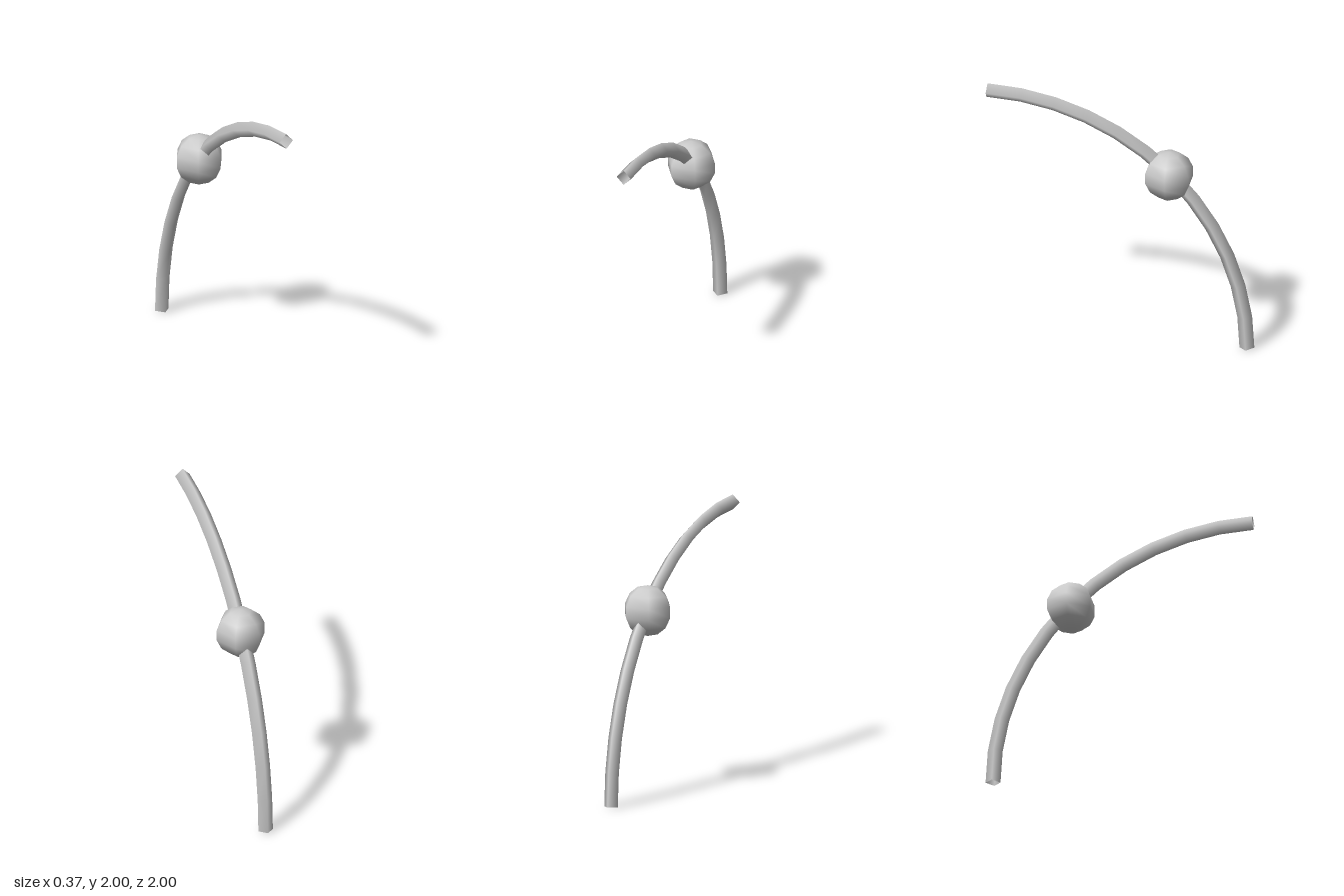
import * as THREE from 'three';

const SEGMENTS = 12;
const RADIUS = 1.94;

// Quarter circle in the yz plane, from the foot at the back up to the front tip
class QuarterArc extends THREE.Curve {
  getPoint(t, target = new THREE.Vector3()) {
    const a = t * Math.PI / 2;
    return target.set(0, 0.004 + RADIUS * Math.sin(a), 0.9965 - RADIUS * Math.cos(a));
  }
  getPointAt(u, target) {
    return this.getPoint(u, target);
  }
  // The end rings are square to the first and last straight segments
  getTangentAt(u, target = new THREE.Vector3()) {
    const half = 0.5 / SEGMENTS;
    const a = THREE.MathUtils.clamp(u, half, 1 - half) * Math.PI / 2;
    return target.set(0, Math.cos(a), Math.sin(a));
  }
}

export function createModel() {
  const model = new THREE.Group();
  model.name = 'curvedRodWithBead';

  const grey = new THREE.MeshStandardMaterial({ color: 0xcccccc, side: THREE.DoubleSide });
  grey.name = 'lightGrey';

  // Open four-sided rod
  const rod = new THREE.Mesh(new THREE.TubeGeometry(new QuarterArc(), SEGMENTS, 0.056, 4), grey);
  rod.name = 'curvedRod';
  model.add(rod);

  // Six-sided bead threaded on the rod
  const bead = new THREE.Mesh(new THREE.SphereGeometry(0.19, 6, 7), grey);
  bead.name = 'bead';
  bead.position.set(0, 1.37, -0.362);
  model.add(bead);

  return model;
}
